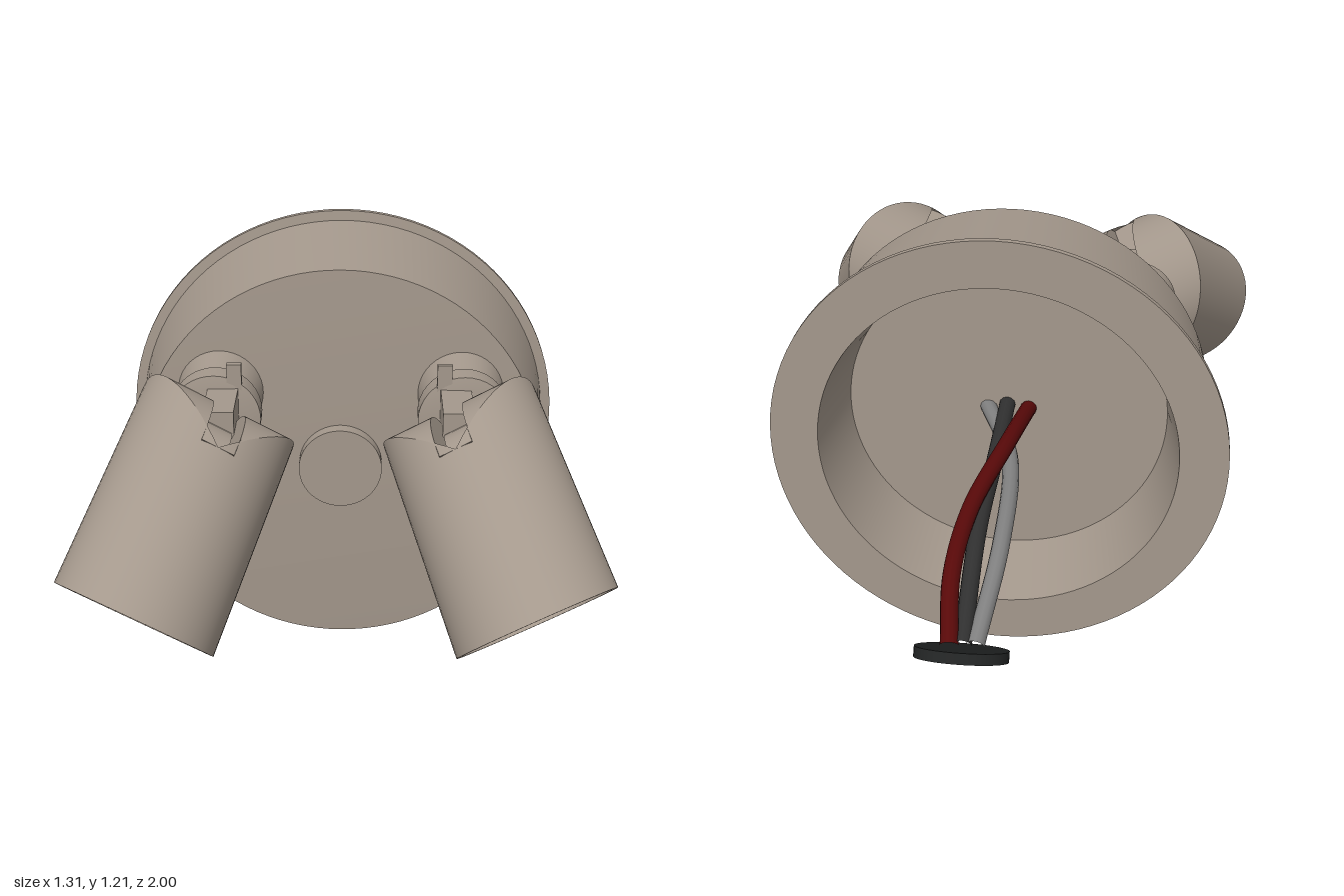
import * as THREE from 'three';
import { toCreasedNormals } from 'three/addons/utils/BufferGeometryUtils.js';
import { ParametricGeometry } from 'three/addons/geometries/ParametricGeometry.js';

const paint = (name, color, side = THREE.FrontSide) => {
  const m = new THREE.MeshStandardMaterial({ color, side });
  m.name = name;
  return m;
};
const metal = paint('bronze metal', 0xa4988c, THREE.DoubleSide);
const glass = paint('dark lens', 0x68686b, THREE.DoubleSide);
const black = paint('black rubber', 0x222424);
const blackWire = paint('black wire', 0x303030);
const greyWire = paint('grey wire', 0x808080);
const redWire = paint('red wire', 0x580909);

const CENTER_Y = 0.607;

function add(parent, name, geometry, material, x = 0, y = 0, z = 0) {
  const mesh = new THREE.Mesh(geometry, material);
  mesh.name = name;
  mesh.position.set(x, y, z);
  parent.add(mesh);
  return mesh;
}

// Turned part whose axis runs along z; profile is a list of [radius, z]
function turned(profile, segments = 64) {
  const points = profile.map(([r, z]) => new THREE.Vector2(r, z));
  const geometry = new THREE.LatheGeometry(points, segments).rotateX(Math.PI / 2);
  return toCreasedNormals(geometry, 0.5);
}

// Lamp shade: a tube along local z with a crossed-cylinder back and a slanted mouth
function shade() {
  const group = new THREE.Group();
  group.name = 'shade';
  const R = 0.203, inner = 0.189, slot = 0.043, lensZ = 0.28;
  const mouth = (y) => 0.397 + 0.44 * y;
  const surface = (name, fn, nu, nv) =>
    add(group, name, new ParametricGeometry(fn, nu, nv), metal);

  surface('shadeTube', (u, v, p) => {
    const a = u * Math.PI * 2, x = R * Math.cos(a), y = R * Math.sin(a);
    p.set(x, y, THREE.MathUtils.lerp(-Math.abs(x), mouth(y), v));
  }, 64, 4);
  surface('shadeInside', (u, v, p) => {
    const a = -u * Math.PI * 2, x = inner * Math.cos(a), y = inner * Math.sin(a);
    p.set(x, y, THREE.MathUtils.lerp(lensZ - 0.02, mouth(y), v));
  }, 64, 2);
  surface('shadeLip', (u, v, p) => {
    const a = u * Math.PI * 2, r = THREE.MathUtils.lerp(R, inner, v);
    p.set(r * Math.cos(a), r * Math.sin(a), mouth(r * Math.sin(a)));
  }, 64, 1);

  // Rounded back in two halves, with the hinge slot between them
  for (const s of [-1, 1]) {
    surface('shadeBack', (u, v, p) => {
      const a = Math.PI * (0.5 - v);
      const wide = Math.max(slot, R * Math.cos(a));
      const x = s > 0 ? THREE.MathUtils.lerp(slot, wide, u) : THREE.MathUtils.lerp(-wide, -slot, u);
      p.set(x, R * Math.sin(a), -R * Math.cos(a));
    }, 4, 32);
    const wall = new THREE.CircleGeometry(R, 32, -Math.PI / 2, Math.PI).rotateY(Math.PI / 2);
    add(group, 'slotWall', wall, metal, s * slot);
  }
  add(group, 'slotFloor', new THREE.PlaneGeometry(slot * 2, R * 2).rotateY(Math.PI), metal);

  // Shallow dished lens
  add(group, 'lens', turned([
    [inner, lensZ], [0.15, lensZ - 0.024], [0.1, lensZ - 0.044], [0.05, lensZ - 0.056], [0, lensZ - 0.06],
  ], 48), glass);

  // Round hinge knuckle sitting in the slot
  add(group, 'knuckle', new THREE.CylinderGeometry(0.095, 0.095, 0.075, 32).rotateZ(Math.PI / 2), metal, 0, 0.01, -0.06);
  return group;
}

// One arm with its shade; s is the side, +1 or -1
function lamp(s) {
  const group = new THREE.Group();
  group.name = s > 0 ? 'leftLamp' : 'rightLamp';
  const x = s * 0.32, y = 0.81;
  add(group, 'neck', turned([[0, 0.04], [0.12, 0.04], [0.113, 0.08], [0.096, 0.2], [0, 0.2]], 40), metal, x, y);
  add(group, 'collar', turned([[0, 0.195], [0.118, 0.195], [0.118, 0.255], [0.085, 0.262], [0, 0.262]], 40), metal, x, y);
  add(group, 'hingeBar', new THREE.BoxGeometry(0.078, 0.17, 0.16), metal, s * 0.297, y, 0.33);
  add(group, 'stopTab', new THREE.BoxGeometry(0.038, 0.3, 0.015), metal, s * 0.268, y, 0.25);

  const d = new THREE.Vector3(s * 0.272, -0.495, 0.825).normalize();
  const c = new THREE.Vector3(0.876, s * 0.48, 0).normalize();
  const e = new THREE.Vector3().crossVectors(d, c).normalize();
  const head = shade();
  head.quaternion.setFromRotationMatrix(new THREE.Matrix4().makeBasis(c, e, d));
  head.position.set(s * 0.359, 0.741, 0.485);
  group.add(head);
  return group;
}

function wire(parent, name, points, material) {
  const curve = new THREE.CatmullRomCurve3(points.map((p) => new THREE.Vector3(...p)));
  add(parent, name, new THREE.TubeGeometry(curve, 40, 0.022, 12), material);
}

export function createModel() {
  const model = new THREE.Group();
  model.name = 'twinFloodlight';

  // Hollow mounting base, open at the back
  add(model, 'base', turned([
    [0, -0.055], [0.437, -0.055], [0.477, -0.284], [0.605, -0.284], [0.605, -0.268],
    [0.578, -0.264], [0.542, 0.065], [0, 0.092],
  ], 96), metal, 0, CENTER_Y);
  add(model, 'centerCap', turned([[0, 0.06], [0.112, 0.06], [0.112, 0.125], [0, 0.125]], 48), metal, 0, CENTER_Y);

  for (const s of [1, -1]) model.add(lamp(s));

  // Wires from the base to the end disc
  wire(model, 'redWire', [[-0.06, 0.615, -0.045], [-0.03, 0.64, -0.28], [0.03, 0.605, -0.55], [0.045, 0.55, -0.75], [0.03, 0.455, -0.89]], redWire);
  wire(model, 'greyWire', [[0.055, 0.612, -0.045], [-0.035, 0.595, -0.28], [-0.055, 0.55, -0.6], [-0.03, 0.45, -0.88]], greyWire);
  wire(model, 'blackWire', [[0, 0.625, -0.045], [0, 0.605, -0.28], [0.005, 0.565, -0.6], [0, 0.45, -0.88]], blackWire);

  // Tilted end disc with a raised middle
  const disc = new THREE.Group();
  disc.name = 'endDisc';
  disc.position.set(0, 0.437, -0.895);
  disc.quaternion.setFromUnitVectors(new THREE.Vector3(0, 1, 0), new THREE.Vector3(0, -0.835, -0.55).normalize());
  add(disc, 'discPlate', new THREE.CylinderGeometry(0.112, 0.112, 0.026, 40), black);
  add(disc, 'discBoss', new THREE.CylinderGeometry(0.07, 0.07, 0.008, 32), black, 0, 0.014, 0);
  model.add(disc);

  return model;
}
